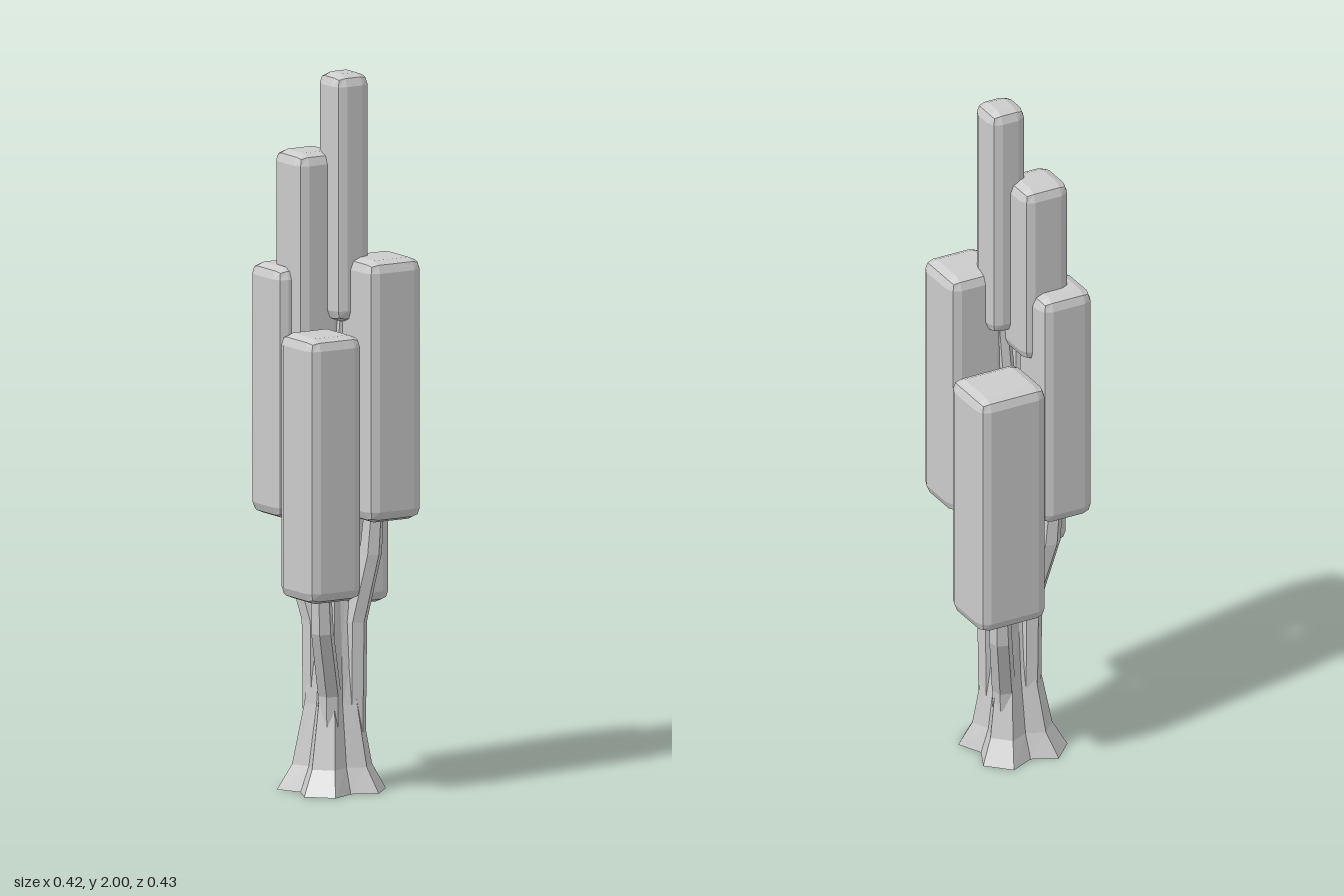
import * as THREE from 'three';
import { RoundedBoxGeometry } from 'three/addons/geometries/RoundedBoxGeometry.js';

const material = new THREE.MeshStandardMaterial({ color: 0xcccccc, flatShading: true });

function addMesh(parent, geometry, name) {
  const mesh = new THREE.Mesh(geometry, material);
  mesh.name = name;
  parent.add(mesh);
}

// Closed skin through horizontal rings of Vector3, listed from the bottom up
function loft(rings) {
  const n = rings[0].length;
  const points = rings.flat();
  const index = [];
  for (let r = 0; r < rings.length - 1; r++) {
    for (let i = 0; i < n; i++) {
      const a = r * n + i, b = r * n + (i + 1) % n;
      index.push(a, a + n, b, b, a + n, b + n);
    }
  }
  const last = rings.length - 1;
  [0, last].forEach((r) => {
    const centre = new THREE.Vector3();
    rings[r].forEach((p) => centre.addScaledVector(p, 1 / n));
    const c = points.push(centre) - 1;
    for (let i = 0; i < n; i++) {
      const a = r * n + i, b = r * n + (i + 1) % n;
      if (r === 0) index.push(c, a, b);
      else index.push(c, b, a);
    }
  });
  const geometry = new THREE.BufferGeometry().setFromPoints(points);
  geometry.setIndex(index);
  geometry.computeVertexNormals();
  return geometry;
}

// Trunk section: four diagonal root ridges with grooves between them
function trunkRing([y, ridge, groove, cx, cz]) {
  const ring = [];
  for (let k = 0; k < 4; k++) {
    for (const [offset, radius] of [[-17, ridge], [17, ridge], [45, groove]]) {
      const angle = THREE.MathUtils.degToRad(45 + k * 90 + offset);
      ring.push(new THREE.Vector3(cx + radius * Math.cos(angle), y, cz + radius * Math.sin(angle)));
    }
  }
  return ring;
}

// Branch: six-sided limb through [x, y, z, radius] stations
function branch(stations) {
  return loft(stations.map(([x, y, z, radius]) => Array.from({ length: 6 }, (_, i) => {
    const angle = i * Math.PI / 3 + 0.3;
    return new THREE.Vector3(x + radius * Math.cos(angle), y, z + radius * Math.sin(angle));
  })));
}

export function createModel() {
  const tree = new THREE.Group();
  tree.name = 'blockTree';

  // Flared trunk
  addMesh(tree, loft([
    [0, 0.15, 0.1, -0.01, 0],
    [0.07, 0.11, 0.075, -0.008, 0],
    [0.24, 0.078, 0.052, -0.006, 0],
    [0.38, 0.06, 0.045, -0.004, 0],
    [0.6, 0.042, 0.034, -0.005, 0],
    [0.85, 0.03, 0.024, -0.01, -0.005],
  ].map(trunkRing)), 'trunk');

  // Foliage blocks: x range, y range, z range
  const blocks = [
    ['topFoliage', -0.037, 0.076, 1.31, 2.0, -0.04, 0.074],
    ['upperFoliage', -0.127, 0.019, 1.25, 1.78, -0.122, 0.022],
    ['backRightFoliage', -0.168, -0.006, 0.76, 1.46, -0.18, -0.02],
    ['backLeftFoliage', -0.002, 0.21, 0.495, 1.22, -0.218, -0.032],
    ['frontLeftFoliage', 0.006, 0.182, 0.76, 1.49, 0, 0.174],
    ['frontRightFoliage', -0.212, -0.038, 0.56, 1.3, 0.04, 0.215],
  ];
  for (const [name, x0, x1, y0, y1, z0, z1] of blocks) {
    const geometry = new RoundedBoxGeometry(x1 - x0, y1 - y0, z1 - z0, 1, 0.032);
    geometry.translate((x0 + x1) / 2, (y0 + y1) / 2, (z0 + z1) / 2);
    addMesh(tree, geometry, name);
  }

  // Outer branches bend away from the trunk, then rise into their blocks
  const outer = [
    ['backRightBranch', -0.085, 0.76, -0.095],
    ['backLeftBranch', 0.095, 0.495, -0.115],
    ['frontLeftBranch', 0.08, 0.76, 0.08],
    ['frontRightBranch', -0.12, 0.56, 0.122],
  ];
  for (const [name, x, y, z] of outer) {
    const sx = Math.sign(x), sz = Math.sign(z);
    addMesh(tree, branch([
      [sx * 0.04, 0.15, sz * 0.04, 0.032],
      [sx * 0.042, y - 0.29, sz * 0.042, 0.033],
      [x * 0.9, y - 0.1, z * 0.9, 0.032],
      [x, y + 0.05, z, 0.027],
    ]), name);
  }

  // Central branches carry the two highest blocks
  addMesh(tree, branch([
    [0, 0.5, 0.005, 0.035],
    [-0.005, 0.85, 0, 0.028],
    [0.005, 1.12, 0.005, 0.025],
    [0.018, 1.35, 0.016, 0.022],
  ]), 'topBranch');
  addMesh(tree, branch([
    [-0.01, 0.6, -0.01, 0.034],
    [-0.015, 0.95, -0.012, 0.026],
    [-0.035, 1.14, -0.035, 0.025],
    [-0.052, 1.29, -0.05, 0.022],
  ]), 'upperBranch');

  return tree;
}
